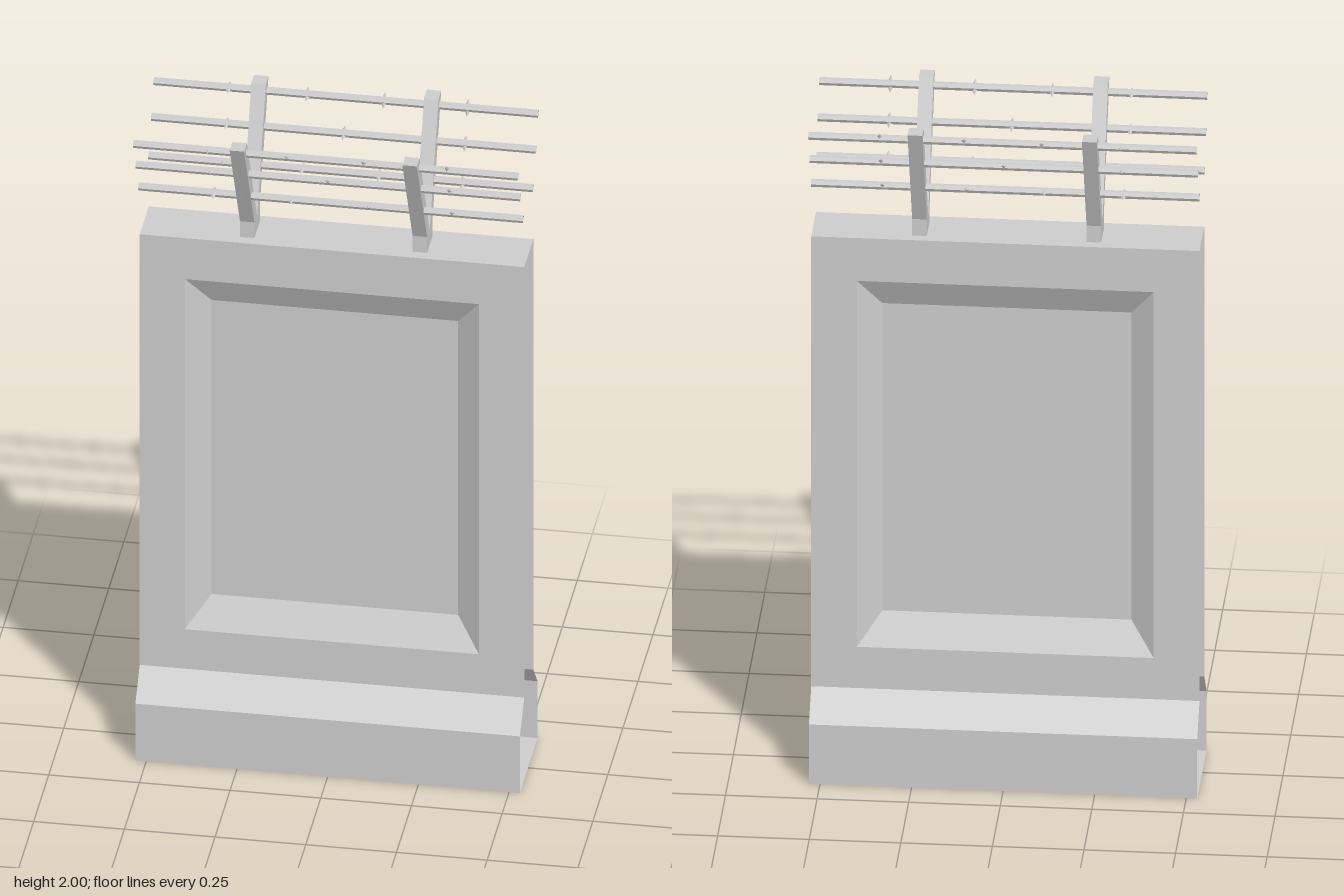
import * as THREE from 'three';

const mat = new THREE.MeshStandardMaterial({ color: 0xcccccc, flatShading: true, side: THREE.DoubleSide });
const HALF_W = 0.53, MID_Z = -0.012, WALL_T = 0.075, BASE_T = 0.148;
const BASE_Y = 0.18, WALL_Y = 0.26, TOP_Y = 1.625;

function add(parent, name, geometry) {
  const mesh = new THREE.Mesh(geometry, mat);
  mesh.name = name;
  parent.add(mesh);
  return mesh;
}

// surface from a list of four-cornered faces
function quads(list) {
  const pos = [];
  for (const [a, b, c, d] of list) pos.push(...a, ...b, ...c, ...a, ...c, ...d);
  const g = new THREE.BufferGeometry();
  g.setAttribute('position', new THREE.Float32BufferAttribute(pos, 3));
  g.computeVertexNormals();
  return g;
}

// [z, y] profile swept across the full width, open at both ends
function sweep(profile) {
  const list = [];
  for (let i = 0; i < profile.length - 1; i++) {
    const [z0, y0] = profile[i], [z1, y1] = profile[i + 1];
    list.push([[-HALF_W, y0, z0], [-HALF_W, y1, z1], [HALF_W, y1, z1], [HALF_W, y0, z0]]);
  }
  return quads(list);
}

const rect = (w, y0, y1, z) => [[-w, y0, z], [w, y0, z], [w, y1, z], [-w, y1, z]];

// one wall face: flat frame, bevelled border and sunken panel
function wallFace(name) {
  const g = new THREE.Group();
  g.name = name;
  const edge = rect(HALF_W, WALL_Y, TOP_Y, WALL_T);
  const outer = rect(0.405, 0.385, 1.495, WALL_T);
  const inner = rect(0.34, 0.475, 1.407, WALL_T - 0.048);
  const ring = (a, b) => quads(a.map((p, i) => [p, a[(i + 1) % 4], b[(i + 1) % 4], b[i]]));
  add(g, 'frame', ring(edge, outer));
  add(g, 'panelBevel', ring(outer, inner));
  add(g, 'sunkenPanel', quads([inner]));
  g.position.z = MID_Z;
  return g;
}

// Y-shaped bracket, outline in [z, y]
function bracketGeometry() {
  const outline = [[0.032, 1.58], [0.032, 1.675], [0.203, 2], [0.157, 2], [-0.013, 1.668],
    [-0.157, 2], [-0.203, 2], [-0.058, 1.675], [-0.058, 1.58]];
  const shape = new THREE.Shape(outline.map(([z, y]) => new THREE.Vector2(-z, y)));
  const g = new THREE.ExtrudeGeometry(shape, { depth: 0.04, bevelEnabled: false });
  g.translate(0, 0, -0.02);
  return g.rotateY(Math.PI / 2);
}

export function createModel() {
  const model = new THREE.Group();
  model.name = 'wallSegment';

  // wall and base
  model.add(wallFace('frontFace'));
  const back = wallFace('backFace');
  back.rotation.y = Math.PI;
  model.add(back);
  add(model, 'wallTop', sweep([[MID_Z - WALL_T, TOP_Y], [MID_Z + WALL_T, TOP_Y]]));
  add(model, 'base', sweep([
    [MID_Z + WALL_T, WALL_Y], [MID_Z + BASE_T, BASE_Y], [MID_Z + BASE_T, 0],
    [MID_Z - BASE_T, 0], [MID_Z - BASE_T, BASE_Y], [MID_Z - WALL_T, WALL_Y],
  ]));

  // brackets
  const bracket = bracketGeometry();
  for (const x of [-0.239, 0.237]) add(model, 'bracket', bracket).position.x = x;

  // wires with barbs: height, front z, back z, barb positions
  const wire = new THREE.CylinderGeometry(0.011, 0.011, 2 * HALF_W, 6, 1, true).rotateZ(Math.PI / 2);
  const barb = new THREE.OctahedronGeometry(1).scale(0.011, 0.025, 0.009);
  const four = [-0.323, -0.107, 0.105, 0.335];
  const rows = [
    [1.972, 0.165, -0.172, four],
    [1.882, 0.124, -0.132, [-0.323, 0, 0.335]],
    [1.787, 0.08, -0.086, four],
  ];
  const tilts = [1.4, 1.1, 0.9, 0.6];
  rows.forEach(([y, zFront, zBack, xs], row) => {
    for (const z of [zFront, zBack]) {
      add(model, 'wire', wire).position.set(0, y, z);
      xs.forEach((x, i) => {
        const b = add(model, 'barb', barb);
        b.position.set(x, y, z);
        b.rotation.x = (tilts[i] + (row === 2 ? 0.4 : 0)) * Math.sign(z);
      });
    }
  });
  return model;
}
